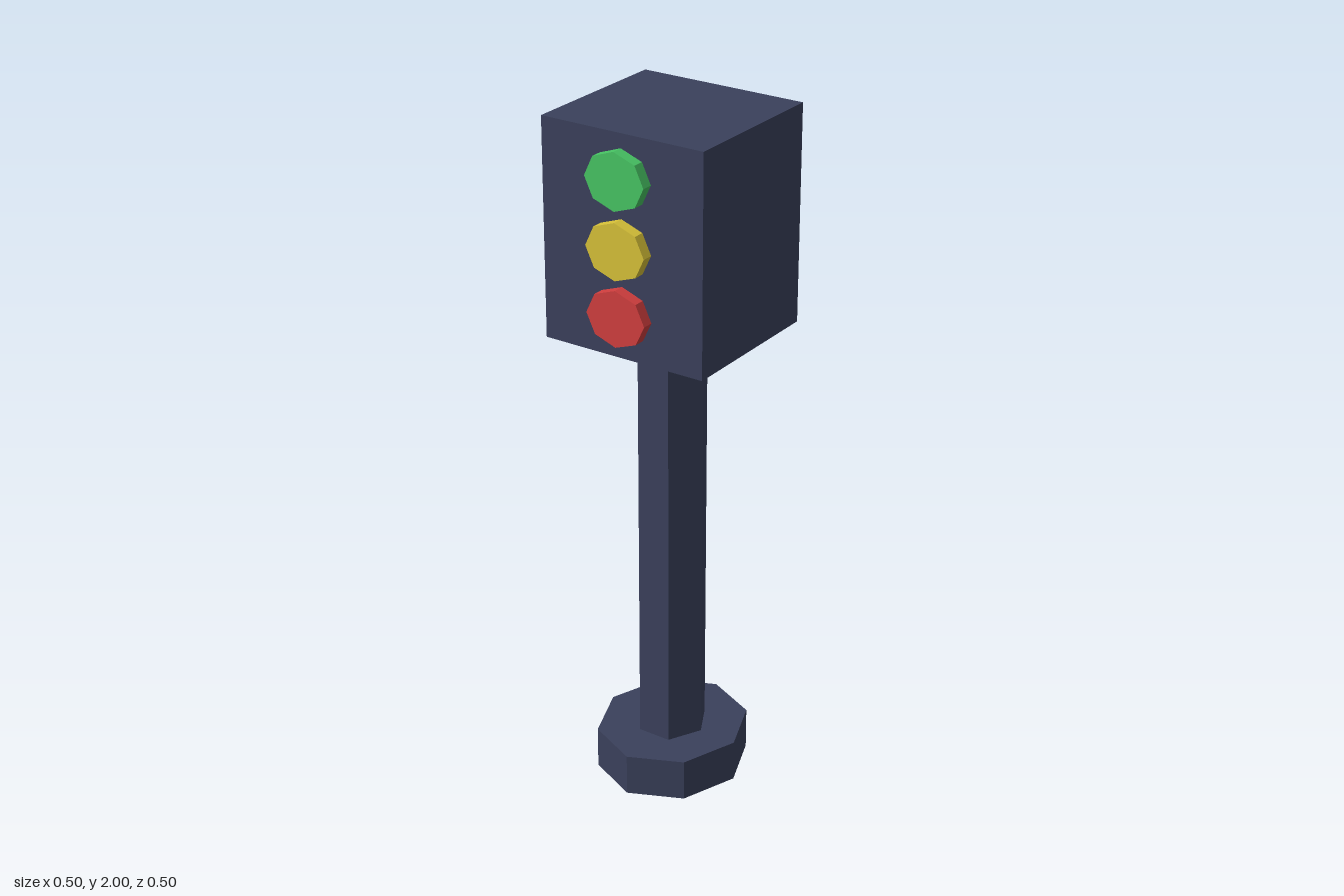
import * as THREE from 'three';

const flat = (name, color) => {
  const m = new THREE.MeshStandardMaterial({ color });
  m.name = name;
  m.flatShading = true;
  return m;
};

export function createModel() {
  const group = new THREE.Group();
  group.name = 'trafficLight';
  const body = flat('darkBlueGrey', 0x3a405b);
  const axisZ = -0.0165; // housing and post sit slightly behind the centre

  const add = (name, geometry, material, x, y, z) => {
    const mesh = new THREE.Mesh(geometry, material);
    mesh.name = name;
    mesh.position.set(x, y, z);
    group.add(mesh);
  };

  // Upright prism with separate width and depth radii
  const prism = (rx, rz, height, sides, turn = 0) =>
    new THREE.CylinderGeometry(1, 1, height, sides, 1, false, turn).scale(rx, 1, rz);

  // Octagonal foot, hexagonal post and box housing
  add('base', prism(0.215, 0.234, 0.125, 8), body, 0, 0.0625, axisZ);
  add('post', prism(0.1, 0.11, 1.255, 6, Math.PI / 6), body, 0, 0.7525, axisZ);
  add('housing', new THREE.BoxGeometry(0.5, 0.62, 0.467), body, 0, 1.69, axisZ);

  // Three octagonal lamps on the front face
  const lamps = [
    ['green', 0x47c363, 1.88],
    ['yellow', 0xd6c038, 1.69],
    ['red', 0xd03e3e, 1.503],
  ];
  for (const [name, color, y] of lamps) {
    const disc = prism(0.092, 0.08, 0.033, 8).rotateX(Math.PI / 2);
    add(name + 'Lamp', disc, flat(name, color), 0, y, 0.2335);
  }

  return group;
}
